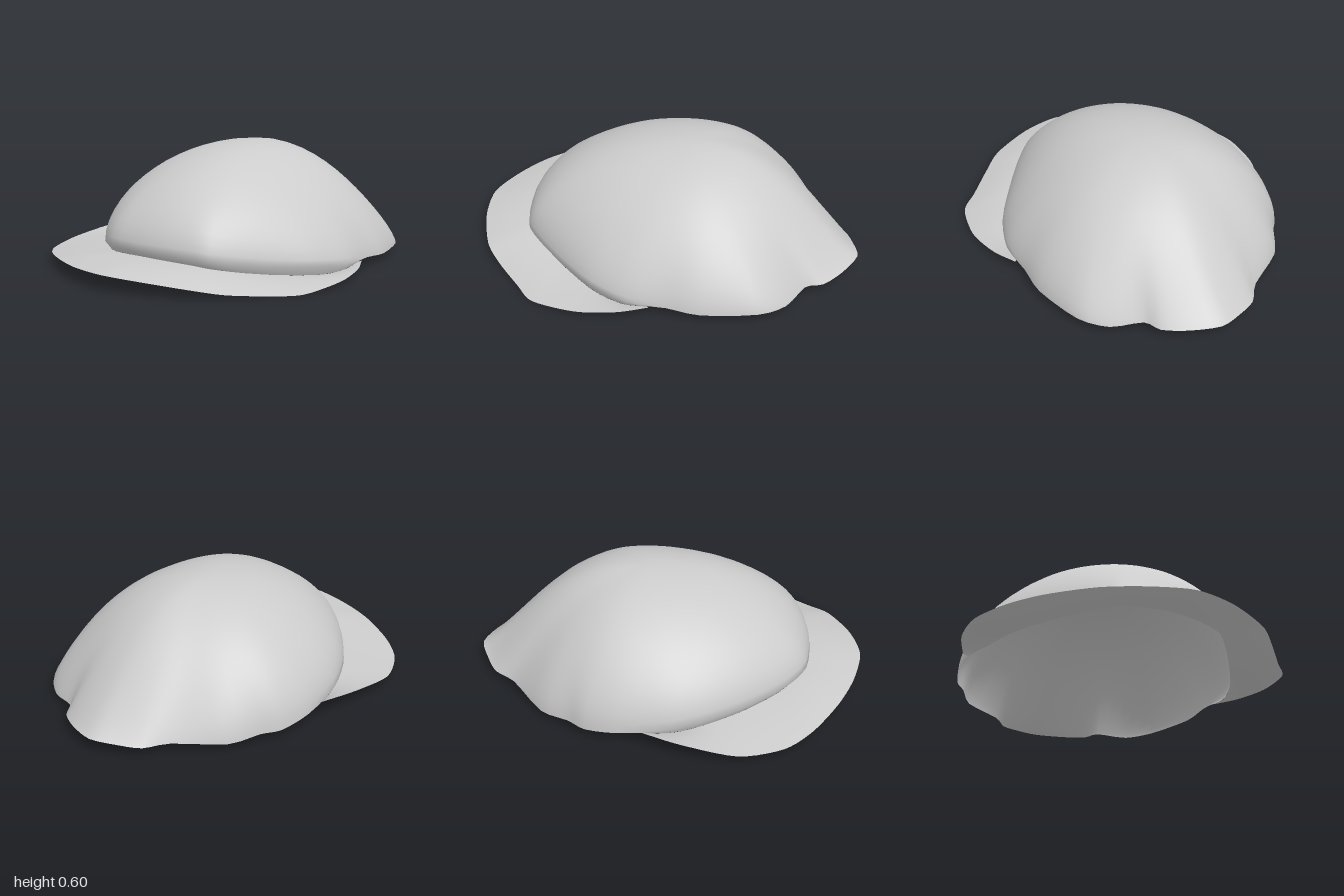
import * as THREE from 'three';
import { mergeVertices } from 'three/addons/utils/BufferGeometryUtils.js';

const APEX = new THREE.Vector3(0, 0.6, -0.12);

// Edge of the crown as [x, y, z], from the back tip round by the left side
const CROWN_EDGE = [
  [0, 0.07, -1], [0.15, 0.06, -0.95], [0.26, 0.05, -0.88], [0.31, 0.05, -0.8],
  [0.46, 0.03, -0.74], [0.58, 0.04, -0.63], [0.67, 0.04, -0.37], [0.68, 0.05, -0.2],
  [0.7, 0.055, 0], [0.65, 0.07, 0.2], [0.55, 0.085, 0.38], [0.45, 0.105, 0.53],
  [0.36, 0.125, 0.64], [0.28, 0.135, 0.68], [0.15, 0.14, 0.715], [0, 0.14, 0.73],
  [-0.2, 0.14, 0.71], [-0.35, 0.13, 0.61], [-0.5, 0.125, 0.44], [-0.62, 0.12, 0.25],
  [-0.69, 0.1, 0.05], [-0.7, 0.07, -0.2], [-0.66, 0.05, -0.37], [-0.6, 0.05, -0.46],
  [-0.52, 0.04, -0.61], [-0.31, 0.05, -0.78], [-0.23, 0.05, -0.89], [-0.13, 0.06, -0.95],
];

// Outer edge of the brim, from the left end round the front to the right end
const BRIM_EDGE = [
  [0.7, 0.05, -0.12], [0.77, 0.04, 0.02], [0.81, 0.025, 0.22], [0.775, 0.005, 0.46],
  [0.68, 0.005, 0.58], [0.55, 0.02, 0.74], [0.44, 0.045, 0.85], [0.23, 0.07, 0.955],
  [0.02, 0.08, 1], [-0.2, 0.075, 0.955], [-0.4, 0.07, 0.87], [-0.6, 0.055, 0.74],
  [-0.73, 0.045, 0.6], [-0.81, 0.055, 0.38], [-0.785, 0.09, 0.1], [-0.71, 0.1, -0.12],
];

const curve = (points, closed) => new THREE.CatmullRomCurve3(
  points.map(p => new THREE.Vector3(...p)), closed, 'catmullrom', 0.4);
const crownEdge = curve(CROWN_EDGE, true);
const brimEdge = curve(BRIM_EDGE, false);
const edgeAt = u => crownEdge.getPoint((u + 1) % 1);

// Evened-out crown outline, used away from the ragged edge
function smoothEdgeAt(u) {
  const sum = new THREE.Vector3();
  for (let i = -4; i <= 4; i++) sum.addScaledVector(edgeAt(u + i * 0.018), 1 / 9);
  return sum;
}

// Lip turned in under the front of the crown, where the brim joins
function lipAt(u) {
  const p = edgeAt(u);
  const dx = p.x - APEX.x, dz = p.z - APEX.z;
  const front = THREE.MathUtils.smoothstep(dz / Math.hypot(dx, dz), -0.1, 0.4);
  p.x -= dx * 0.035 * front;
  p.z -= dz * 0.035 * front;
  p.y -= (0.028 + 0.03 * Math.abs(dx)) * front;
  return p;
}

// Smooth grid surface; point(u, row) runs round the shape and outward
function surface(name, columns, rows, point, material) {
  const positions = [], index = [];
  for (let r = 0; r <= rows; r++) {
    for (let c = 0; c <= columns; c++) {
      positions.push(...point(c / columns, r).toArray());
      if (r === rows || c === columns) continue;
      const a = r * (columns + 1) + c, b = a + columns + 1;
      index.push(a, a + 1, b, b, a + 1, b + 1);
    }
  }
  let geometry = new THREE.BufferGeometry();
  geometry.setAttribute('position', new THREE.Float32BufferAttribute(positions, 3));
  geometry.setIndex(index);
  geometry = mergeVertices(geometry, 1e-5);
  geometry.computeVertexNormals();
  const mesh = new THREE.Mesh(geometry, material);
  mesh.name = name;
  return mesh;
}

export function createModel() {
  const model = new THREE.Group();
  model.name = 'cap';
  const fabric = new THREE.MeshStandardMaterial({ color: 0xcccccc, side: THREE.DoubleSide });
  fabric.name = 'light grey';

  // Crown: steep elliptical front and sides, sloping tail at the back
  const rings = 16;
  model.add(surface('crown', 84, rings + 1, (u, r) => {
    if (r > rings) return lipAt(u);
    const f = Math.sin(r / rings * Math.PI / 2);
    const rim = smoothEdgeAt(u).lerp(edgeAt(u), f ** 6);
    const dx = rim.x - APEX.x, dz = rim.z - APEX.z;
    const reach = Math.hypot(dx, dz);
    const back = Math.max(0, -dz / reach) ** 4;
    const left = Math.max(0, dx / reach) ** 2;
    const height = Math.max(0, 1 - f ** (2 + 0.4 * back)) ** (0.52 + 0.63 * back + 0.13 * left);
    return new THREE.Vector3(APEX.x + dx * f, rim.y + (APEX.y - rim.y) * height, APEX.z + dz * f);
  }, fabric));

  // Brim: thin sheet from the lip outward, slightly arched
  const start = 7.5 / CROWN_EDGE.length, end = 20.5 / CROWN_EDGE.length;
  model.add(surface('brim', 75, 4, (u, r) => {
    const t = r / 4;
    const p = lipAt(THREE.MathUtils.lerp(start, end, u)).lerp(brimEdge.getPoint(u), t);
    p.y += 0.01 * Math.sin(t * Math.PI) * Math.sin(u * Math.PI);
    p.y = Math.max(0, p.y);
    return p;
  }, fabric));

  return model;
}
